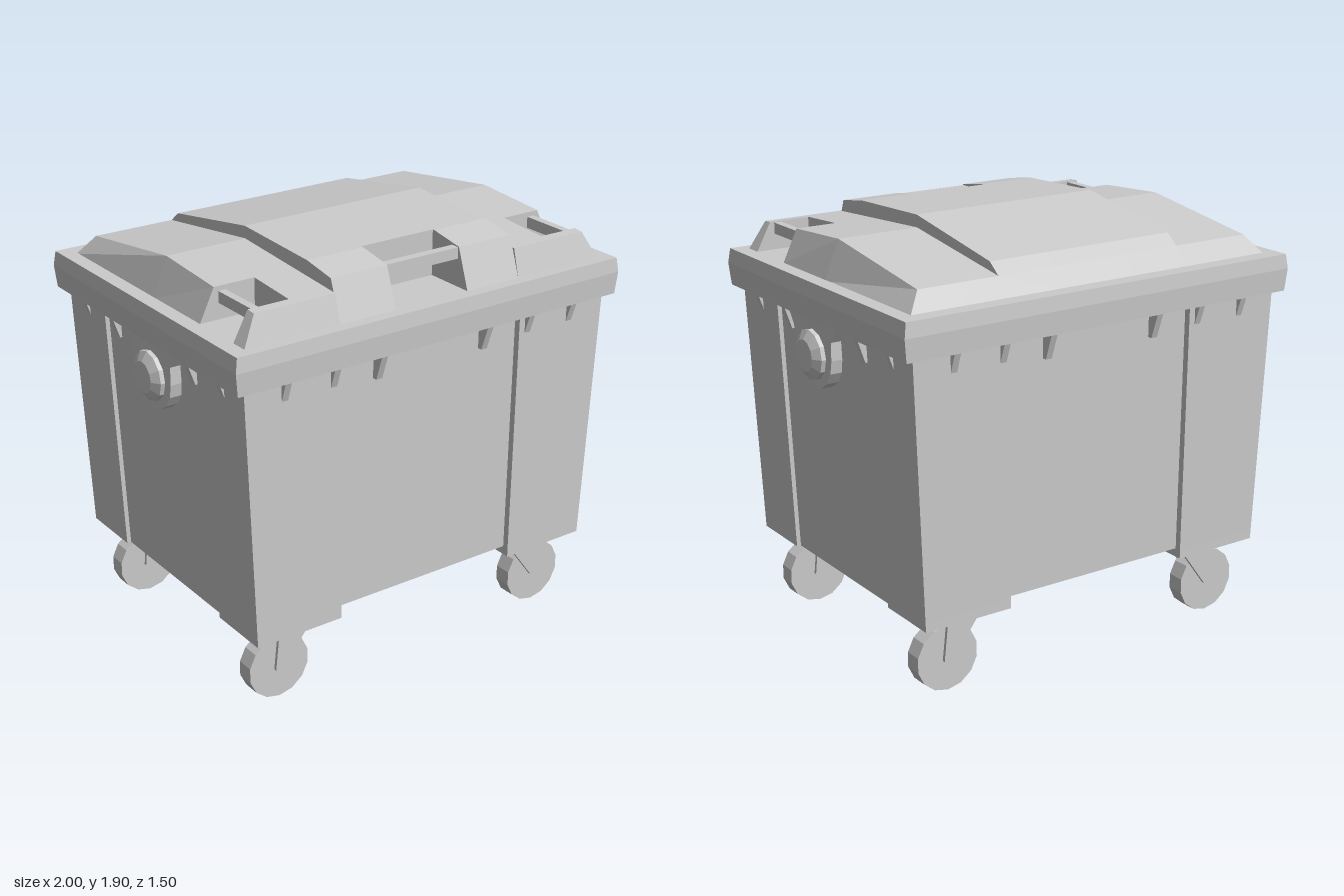
import * as THREE from 'three';

const material = new THREE.MeshStandardMaterial({ color: 0xcccccc, flatShading: true });

function add(parent, name, geometry, x = 0, y = 0, z = 0) {
  const mesh = new THREE.Mesh(geometry, material);
  mesh.name = name;
  mesh.position.set(x, y, z);
  parent.add(mesh);
  return mesh;
}

// Closed loft of counter-clockwise rings. Stations are [w, ring] with w rising.
// Axis 'y': ring points are [z, x]. Axis 'x': ring points are [y, z].
function loft(axis, stations) {
  const pos = [];
  const put = (w, [u, v]) => (axis === 'y' ? pos.push(v, w, u) : pos.push(w, u, v));
  for (let s = 0; s + 1 < stations.length; s++) {
    const [w0, r0] = stations[s];
    const [w1, r1] = stations[s + 1];
    r0.forEach((p, i) => {
      const j = (i + 1) % r0.length;
      put(w0, p); put(w0, r0[j]); put(w1, r1[j]);
      put(w0, p); put(w1, r1[j]); put(w1, r1[i]);
    });
  }
  [stations[0], stations[stations.length - 1]].forEach(([w, ring], end) => {
    const faces = THREE.ShapeUtils.triangulateShape(ring.map(p => new THREE.Vector2(...p)), []);
    for (const f of faces) for (const i of end ? f : [...f].reverse()) put(w, ring[i]);
  });
  const g = new THREE.BufferGeometry();
  g.setAttribute('position', new THREE.Float32BufferAttribute(pos, 3));
  g.computeVertexNormals();
  return g;
}

const mirrored = stations => stations.map(([w, ring]) => [-w, ring]).reverse();

function plate(points, depth) {
  const shape = new THREE.Shape(points.map(p => new THREE.Vector2(...p)));
  return new THREE.ExtrudeGeometry(shape, { depth, bevelEnabled: false }).translate(0, 0, -depth / 2);
}

// Tub outline with recessed panels: d deep in front and back, s deep at the sides
function tubRing(hx, hz, d, s = 0.02, a = 0.46, b = 0.4) {
  const half = [[hz - d, -a], [hz - d, a], [hz, a], [hz, hx], [b, hx],
    [b, hx - s], [-b, hx - s], [-b, hx], [-hz, hx], [-hz, a]];
  return [...half, ...half.map(([z, x]) => [-z, -x])];
}

const rectRing = (hx, hz) => [[hz, -hx], [hz, hx], [-hz, hx], [-hz, -hx]];

// Lid profiles as [y, z], from back to front
const BASE = 1.68, BACK = -0.67, FRONT = 0.69;
const humpProfile = [[BASE, BACK], [1.765, -0.61], [1.812, -0.55], [1.905, 0], [1.887, 0.46], [1.86, 0.625], [BASE, FRONT]];
const sideProfile = [[BASE, BACK], [1.765, -0.61], [1.85, 0], [1.807, 0.655], [BASE, FRONT]];

function heightAt(profile, z) {
  const i = Math.max(1, profile.findIndex(p => p[1] >= z));
  const [y0, z0] = profile[i - 1], [y1, z1] = profile[i];
  return y0 + (y1 - y0) * (z - z0) / (z1 - z0);
}

// Part of a profile between two z values, closed down to the rim
function clip(profile, z0, z1) {
  const inner = profile.filter(p => p[1] > z0 && p[1] < z1);
  const ring = [[heightAt(profile, z0), z0], ...inner, [heightAt(profile, z1), z1]];
  if (z0 > BACK) ring.unshift([BASE, z0]);
  if (z1 < FRONT) ring.push([BASE, z1]);
  return ring;
}

// The same section flattened onto the rim, for the sloping ends of the lid
const flatten = ring => ring.map(([, z]) => [BASE, z > 0.62 ? FRONT : z < -0.6 ? BACK : z]);

function buildLid() {
  const lid = new THREE.Group();
  lid.name = 'lid';
  add(lid, 'lidRim', loft('y', [[1.62, rectRing(0.985, 0.748)], [1.685, rectRing(0.975, 0.742)]]));

  // Raised middle with a handle opening at the front
  const full = clip(humpProfile, BACK, FRONT);
  const cut = clip(humpProfile, BACK, 0.45);
  add(lid, 'humpCentre', loft('x', [[-0.185, cut], [0.185, cut]]));
  add(lid, 'frontHandle', new THREE.BoxGeometry(0.37, 0.05, 0.04), 0, 1.832, 0.6);

  // Lower shoulders with a grip notch near each front corner
  const shoulder = clip(sideProfile, BACK, FRONT);
  const behind = clip(sideProfile, BACK, 0.365);
  const ahead = clip(sideProfile, 0.61, FRONT);
  for (const side of [1, -1]) {
    const slab = (name, stations) => add(lid, name, loft('x', side > 0 ? stations : mirrored(stations)));
    slab('humpSide', [[0.185, full], [0.46, full]]);
    slab('shoulder', [[0.46, shoulder], [0.65, shoulder]]);
    slab('shoulderBack', [[0.65, behind], [0.84, behind], [0.91, flatten(behind)]]);
    slab('shoulderFront', [[0.65, ahead], [0.84, ahead], [0.91, flatten(ahead)]]);
    add(lid, 'cornerHandle', new THREE.BoxGeometry(0.035, 0.05, 0.25), side * 0.802, 1.78, 0.488);
  }
  return lid;
}

function buildCaster(sx, sz) {
  const caster = new THREE.Group();
  caster.name = 'caster';
  add(caster, 'wheel', new THREE.CylinderGeometry(0.15, 0.15, 0.08, 14).rotateX(Math.PI / 2), sx * 0.71, 0.15, 0);
  const arm = [[0.735, 0.14], [0.69, 0.14], [0.565, 0.31], [0.575, 0.325], [0.715, 0.325]];
  for (const z of [-0.0475, 0.0475]) {
    add(caster, 'forkArm', plate(arm.map(([x, y]) => [sx * x, y]), 0.015), 0, 0, z);
  }
  add(caster, 'forkCrown', new THREE.BoxGeometry(0.13, 0.02, 0.1), sx * 0.64, 0.318, 0);
  add(caster, 'axle', new THREE.CylinderGeometry(0.018, 0.018, 0.11, 8).rotateX(Math.PI / 2), sx * 0.71, 0.155, 0);
  add(caster, 'swivelMount', new THREE.CylinderGeometry(0.08, 0.07, 0.03, 8), sx * 0.645, 0.338, 0);
  caster.position.z = sz * 0.555;
  return caster;
}

// Lifting trunnion on each side: a rounded plate with a tapered hub
function buildTrunnion(side) {
  const trunnion = new THREE.Group();
  trunnion.name = 'trunnion';
  const outline = [[-0.21, 1.525], [-0.155, 1.45]];
  for (let i = 0; i <= 8; i++) {
    const a = Math.PI * (1 + i / 8);
    outline.push([Math.cos(a) * 0.155, 1.37 + Math.sin(a) * 0.155]);
  }
  outline.push([0.155, 1.45], [0.21, 1.525]);
  add(trunnion, 'trunnionPlate', plate(outline, 0.08).rotateY(Math.PI / 2), 0.915);
  const profile = [[0, 0.94], [0.11, 0.94], [0.11, 0.975], [0.07, 1], [0, 1]].map(p => new THREE.Vector2(...p));
  add(trunnion, 'trunnionHub', new THREE.LatheGeometry(profile, 12).rotateZ(-Math.PI / 2), 0, 1.365, 0);
  trunnion.rotation.y = side > 0 ? 0 : Math.PI;
  trunnion.position.z = 0.04;
  return trunnion;
}

export function createModel() {
  const bin = new THREE.Group();
  bin.name = 'wheeledContainer';

  // Tapered tub, its front and back panels stepped in at the foot
  add(bin, 'tub', loft('y', [
    [0.35, tubRing(0.88, 0.7, 0.1)],
    [0.39, tubRing(0.882, 0.7, 0.1)],
    [0.39, tubRing(0.882, 0.7, 0.03)],
    [1.53, tubRing(0.93, 0.712, 0.03)],
  ]));
  add(bin, 'tubRim', loft('y', [[1.52, rectRing(0.975, 0.742)], [1.62, rectRing(0.985, 0.748)]]));

  // Triangular ribs under the rim
  const rib = (reach, offset, angle) => {
    const g = plate([[reach - 0.07, 1.41], [reach - 0.01, 1.41], [reach + 0.03, 1.525], [reach - 0.07, 1.525]], 0.03);
    add(bin, 'rimRib', g.translate(0, 0, offset)).rotation.y = angle;
  };
  for (const s of [1, -1]) {
    for (const x of [0.275, 0.505, 0.74]) {
      rib(0.712, s * x, Math.PI / 2);
      rib(0.712, s * x, -Math.PI / 2);
    }
    for (const z of [0.31, 0.55]) {
      rib(0.925, s * z, 0);
      rib(0.925, s * z, Math.PI);
    }
  }

  bin.add(buildLid());
  for (const sx of [1, -1]) {
    bin.add(buildTrunnion(sx));
    for (const sz of [1, -1]) bin.add(buildCaster(sx, sz));
  }
  return bin;
}
